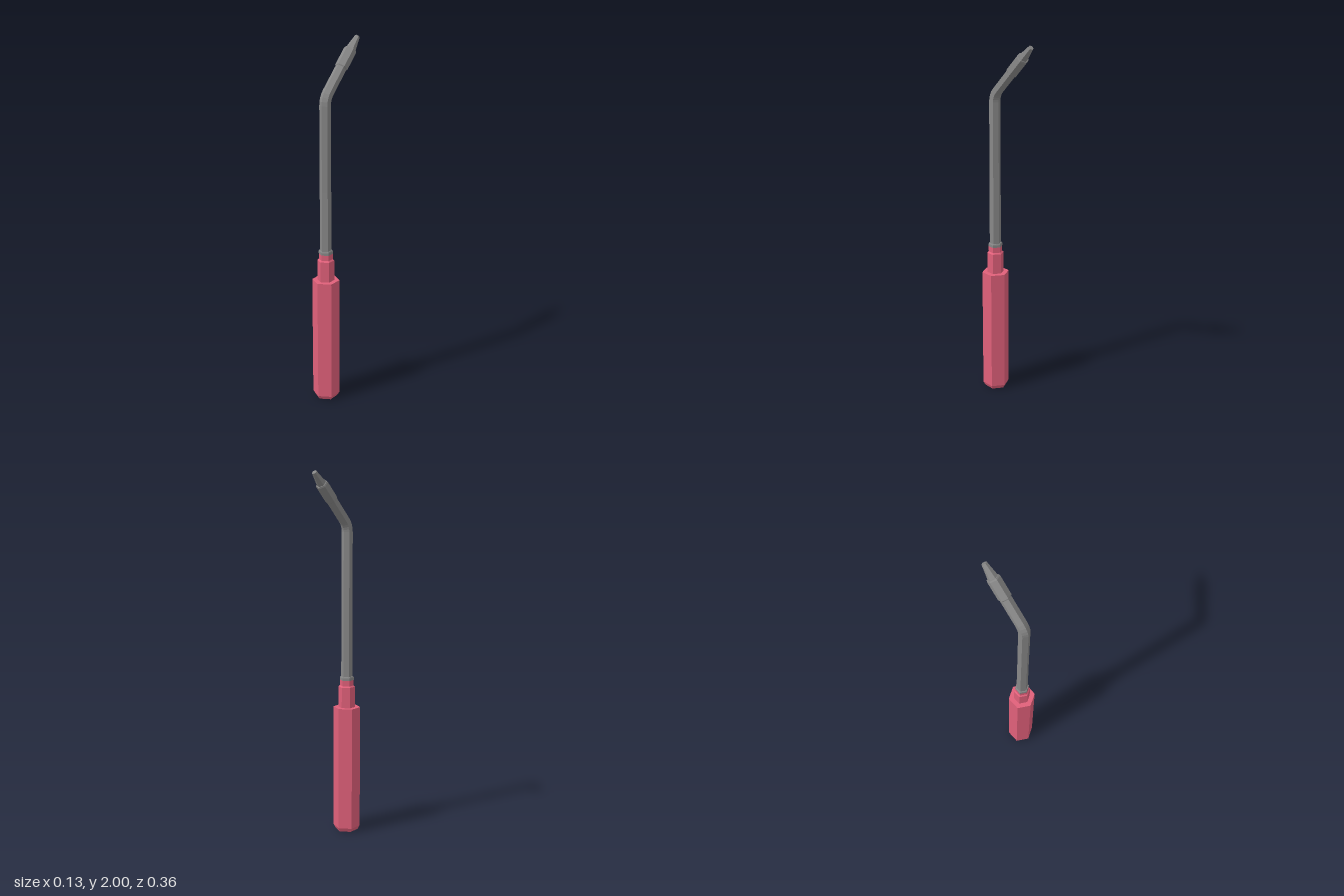
import * as THREE from 'three';

const AXIS_Z = 0.105;   // handle and shaft axis
const BEND_Y = 1.714;   // where the straight and angled axes meet
const TILT = Math.PI / 4;

const steel = new THREE.MeshStandardMaterial({ color: 0x888888, flatShading: true });
const red = new THREE.MeshStandardMaterial({ color: 0xe0607a, flatShading: true });

// Six-sided turned part from [radius, height] pairs, bottom to top
function hexPart(name, profile, material) {
  const points = profile.map(([r, y]) => new THREE.Vector2(r, y));
  const mesh = new THREE.Mesh(new THREE.LatheGeometry(points, 6).toNonIndexed(), material);
  mesh.geometry.computeVertexNormals();
  mesh.name = name;
  return mesh;
}

// Hexagonal rod through sections { y, z, r, a }, a = backward tilt of the axis
function hexRod(name, sections, material) {
  const positions = [];
  const index = [];
  for (const { y, z, r, a } of sections) {
    for (let i = 0; i < 6; i++) {
      const t = (i * Math.PI) / 3;
      const d = r * Math.cos(t);
      positions.push(r * Math.sin(t), y + d * Math.sin(a), z + d * Math.cos(a));
    }
  }
  for (let s = 0; s < sections.length - 1; s++) {
    for (let i = 0; i < 6; i++) {
      const p = s * 6 + i;
      const q = s * 6 + ((i + 1) % 6);
      index.push(p, q, q + 6, p, q + 6, p + 6);
    }
  }
  const geometry = new THREE.BufferGeometry();
  geometry.setAttribute('position', new THREE.Float32BufferAttribute(positions, 3));
  geometry.setIndex(index);
  const flat = geometry.toNonIndexed();
  flat.computeVertexNormals();
  const mesh = new THREE.Mesh(flat, material);
  mesh.name = name;
  return mesh;
}

export function createModel() {
  const model = new THREE.Group();
  model.name = 'bentTool';

  // Handle, neck and ferrule share the upright axis
  const upright = new THREE.Group();
  upright.name = 'handle';
  upright.position.z = AXIS_Z;
  upright.add(
    hexPart('grip', [[0, 0], [0.063, 0], [0.075, 0.022], [0.075, 0.713], [0, 0.713]], red),
    hexPart('neck', [[0.046, 0.713], [0.046, 0.828], [0.038, 0.835], [0.038, 0.868]], red),
    hexPart('ferrule', [[0.039, 0.866], [0.039, 0.88], [0.036, 0.886], [0.029, 0.886]], steel),
  );
  model.add(upright);

  // Shaft: straight, rounded bend, then angled straight
  const sections = [
    { y: 0.86, z: AXIS_Z, r: 0.032, a: 0 },
    { y: 1.22, z: AXIS_Z, r: 0.0305, a: 0 },
  ];
  const tangent = 0.037;
  const bendRadius = tangent / Math.tan(TILT / 2);
  for (let i = 0; i <= 4; i++) {
    const a = (TILT * i) / 4;
    sections.push({
      y: BEND_Y - tangent + bendRadius * Math.sin(a),
      z: AXIS_Z - bendRadius * (1 - Math.cos(a)),
      r: 0.03,
      a,
    });
  }
  const end = 0.2 * Math.SQRT1_2;
  sections.push({ y: BEND_Y + end, z: AXIS_Z - end, r: 0.03, a: TILT });
  model.add(hexRod('shaft', sections, steel));

  // Collar and tapered tip on the angled axis
  const head = new THREE.Group();
  head.name = 'head';
  head.position.set(0, BEND_Y, AXIS_Z);
  head.rotation.x = -TILT;
  head.add(
    hexPart('collar', [[0.029, 0.188], [0.0345, 0.194], [0.0345, 0.302], [0.031, 0.31], [0, 0.31]], steel),
    hexPart('tip', [[0.027, 0.308], [0.014, 0.391], [0, 0.391]], steel),
  );
  model.add(head);

  return model;
}
